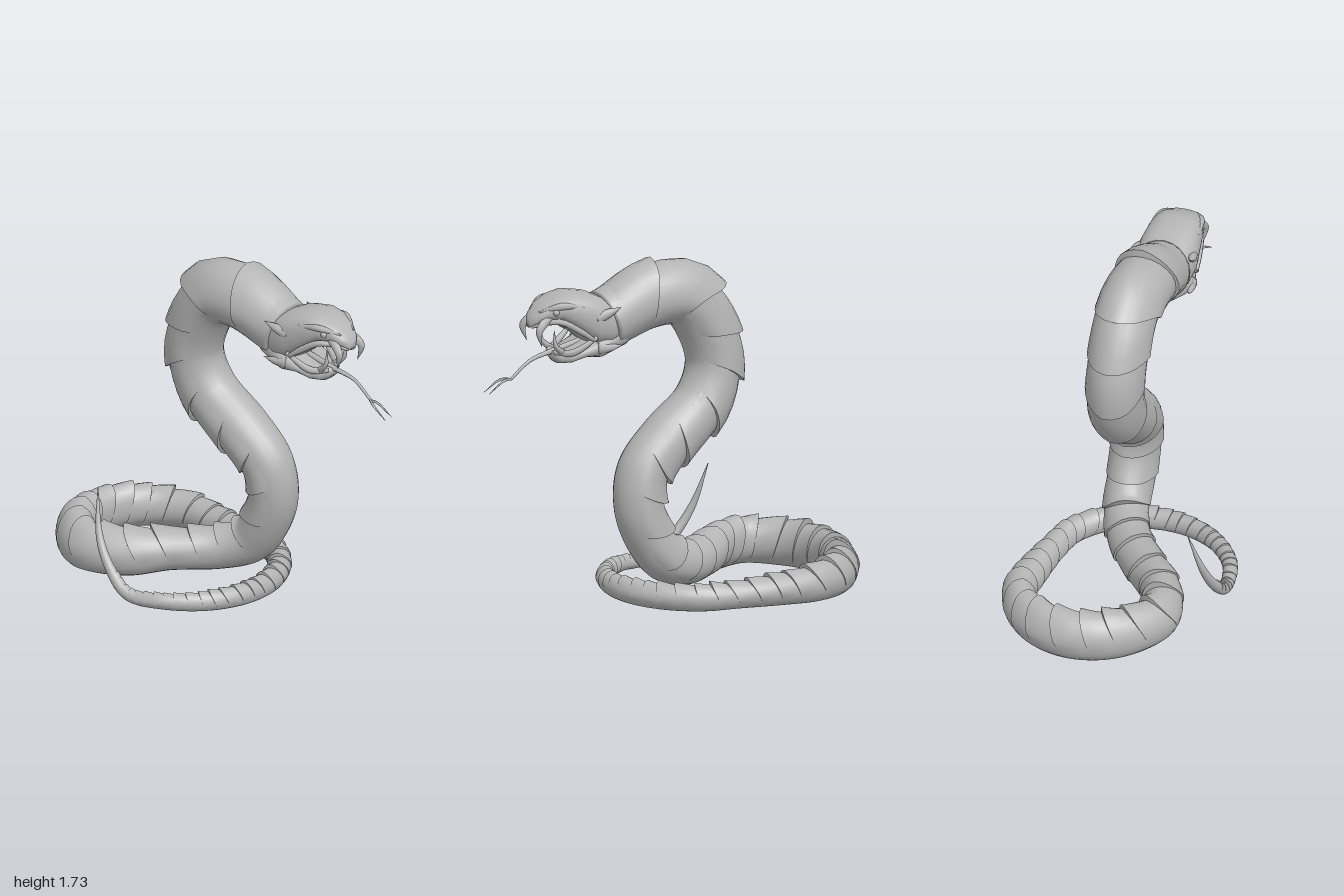
import * as THREE from 'three';
import { mergeGeometries } from 'three/addons/utils/BufferGeometryUtils.js';

const V = (x, y, z) => new THREE.Vector3(x, y, z);
const mix = THREE.MathUtils.lerp;
const CX = 0.04; // the head's middle plane

// Skin between rings of points; open leaves a gap between last and first column.
function loft(rings, open = false) {
  const n = rings[0].length, pos = [], idx = [];
  rings.forEach(r => r.forEach(p => pos.push(p.x, p.y, p.z)));
  for (let i = 0; i < rings.length - 1; i++) {
    for (let j = 0; j < (open ? n - 1 : n); j++) {
      const a = i * n + j, b = i * n + (j + 1) % n, c = a + n, d = b + n;
      idx.push(a, b, c, b, d, c);
    }
  }
  const g = new THREE.BufferGeometry();
  g.setAttribute('position', new THREE.Float32BufferAttribute(pos, 3));
  g.setIndex(idx);
  g.computeVertexNormals();
  return g;
}

// Frames along a path of [x, y, z, radius, height factor]; up is carried along it.
function pathFrames(points, samples, up) {
  const centre = new THREE.CatmullRomCurve3(points.map(p => V(p[0], p[1], p[2])), false, 'catmullrom');
  const size = new THREE.CatmullRomCurve3(points.map(p => V(p[3], p[4] ?? 1, 0)), false, 'catmullrom');
  const frames = [];
  let d = up, s = 0;
  for (let i = 0; i <= samples; i++) {
    const c = centre.getPoint(i / samples), t = centre.getTangent(i / samples);
    const z = size.getPoint(i / samples);
    d = d.clone().addScaledVector(t, -d.dot(t)).normalize();
    if (i) s += c.distanceTo(frames[i - 1].c);
    frames.push({ c, d, w: t.clone().cross(d), r: Math.max(z.x, 0.001), k: z.y, s });
  }
  return frames;
}

const around = (f, a, m = 1) => f.c.clone()
  .addScaledVector(f.d, Math.cos(a) * f.r * f.k * m)
  .addScaledVector(f.w, Math.sin(a) * f.r * m);

function sweep(frames, sides, m = 1) {
  const rings = frames.map(f => Array.from({ length: sides }, (_, j) => around(f, j / sides * Math.PI * 2, m)));
  const first = rings[0].map(() => frames[0].c);
  const last = rings[0].map(() => frames[frames.length - 1].c);
  return loft([first, ...rings, last]);
}

const horn = points => sweep(pathFrames(points, 12, V(1, 0, 0)), 7);

function frameAt(frames, s) {
  let i = 0;
  while (i < frames.length - 2 && frames[i + 1].s < s) i++;
  const a = frames[i], b = frames[i + 1];
  const t = THREE.MathUtils.clamp((s - a.s) / (b.s - a.s), 0, 1);
  return { c: a.c.clone().lerp(b.c, t), d: a.d.clone().lerp(b.d, t).normalize(),
    w: a.w.clone().lerp(b.w, t).normalize(), r: mix(a.r, b.r, t), k: mix(a.k, b.k, t) };
}

// Overlapping back plates with a keeled, pointed and slightly uneven rear edge.
function backPlates(frames) {
  const plates = [], total = frames[frames.length - 1].s, cols = 18, arc = 2.2;
  let s = 0.05;
  for (let i = 0; s < total - 0.2; i++) {
    const radius = frameAt(frames, s).r, len = radius * (1.38 + 0.2 * Math.sin(i * 1.7));
    if (radius < 0.028) break;
    const keel = 0.16 + 0.05 * Math.sin(i * 2.3);
    const row = (t, m) => Array.from({ length: cols + 1 }, (_, j) => {
      const a = (j / cols * 2 - 1) * arc;
      const edge = Math.min(1, (arc - Math.abs(a)) * 2);
      const flare = 0.09 + 0.03 * Math.sin(a * 3 + i) + keel * Math.max(0, 1 - Math.abs(a) / 1.1);
      return around(frameAt(frames, s + len * (t * 1.04 + 0.3 * Math.cos(a) - 0.2)), a, m ?? 0.96 + t * flare * edge);
    });
    plates.push(loft([0, 0.25, 0.5, 0.75, 1].map(t => row(t)), true));
    plates.push(loft([row(1), row(1, 0.92)], true));
    s += len;
  }
  return mergeGeometries(plates);
}

// Level arc of spine points; shape(t) gives [height, radius, height factor].
function groundArc(x, z, rx, rz, from, to, count, shape) {
  return Array.from({ length: count }, (_, i) => {
    const t = i / (count - 1), a = mix(from, to, t), [y, ...size] = shape(t);
    return [x + rx * Math.cos(a), y, z + rz * Math.sin(a), ...size];
  });
}

// Jaw from cross-sections of [z, top, bottom, half width].
function jaw(sections, sides = 24) {
  const round = v => Math.sign(v) * Math.abs(v) ** 0.8;
  const ring = ([z, top, bottom, w]) => Array.from({ length: sides }, (_, j) => {
    const a = j / sides * Math.PI * 2;
    return V(CX - w * round(Math.sin(a)), (top + bottom) / 2 + (top - bottom) / 2 * round(Math.cos(a)), z);
  });
  const cap = ([z, top, bottom]) => Array(sides).fill(V(CX, (top + bottom) / 2, z));
  return loft([cap(sections[0]), ...sections.map(ring), cap(sections[sections.length - 1])]);
}

export function createModel() {
  const group = new THREE.Group();
  const skin = new THREE.MeshStandardMaterial({ color: 0xb4b4b4, side: THREE.DoubleSide });
  skin.name = 'grey skin';
  const add = (name, geometry) => {
    const mesh = new THREE.Mesh(geometry, skin);
    mesh.name = name;
    group.add(mesh);
    return mesh;
  };

  // Raised neck, S-bend, ground coil and tail
  const neck = [
    [0.04, 1.465, 0.35, 0.152], [0.04, 1.55, 0.1, 0.16], [0.045, 1.53, -0.09, 0.156],
    [0.05, 1.38, -0.205, 0.15], [0.055, 1.18, -0.25, 0.142], [0.07, 0.99, -0.17, 0.142],
    [0.085, 0.835, 0.025, 0.142], [0.1, 0.7, 0.165, 0.132], [0.115, 0.53, 0.197, 0.126],
    [0.118, 0.37, 0.145, 0.12], [0.11, 0.25, 0.055, 0.113], [0.04, 0.19, -0.1, 0.108],
    [-0.1, 0.175, -0.28, 0.105], [-0.24, 0.165, -0.43, 0.1, 1.2],
  ];
  const coil = groundArc(0.055, -0.52, 0.375, 0.385, 3.4, 6.5, 8,
    t => [mix(0.155, 0.105, t), mix(0.095, 0.08, t), 1 + 0.37 * Math.sin(Math.PI * (0.2 + 0.8 * t))]);
  const tail = groundArc(-0.045, -0.2, 0.445, 0.425, 0, Math.PI, 8,
    t => [mix(0.1, 0.085, t), mix(0.067, 0.032, t), 1 + 0.15 * Math.sin(Math.PI * t)]);
  const tip = [[-0.48, 0.18, -0.33, 0.026], [-0.453, 0.33, -0.425, 0.018], [-0.4, 0.54, -0.48, 0.002]];
  const frames = pathFrames([...neck, ...coil, ...tail, ...tip], 420, V(0, 1, 0));
  add('body', sweep(frames, 22, 0.97));
  add('backPlates', backPlates(frames));

  // Head
  add('upperJaw', jaw([
    [0.27, 1.57, 1.38, 0.11], [0.37, 1.585, 1.35, 0.145], [0.45, 1.622, 1.36, 0.15],
    [0.56, 1.642, 1.45, 0.135], [0.63, 1.628, 1.505, 0.115], [0.7, 1.595, 1.512, 0.085],
    [0.745, 1.555, 1.495, 0.058], [0.768, 1.525, 1.48, 0.025],
  ]));
  add('lowerJaw', jaw([
    [0.27, 1.46, 1.34, 0.11], [0.42, 1.42, 1.3, 0.145], [0.5, 1.38, 1.31, 0.125],
    [0.57, 1.355, 1.288, 0.1], [0.62, 1.352, 1.287, 0.07], [0.645, 1.352, 1.31, 0.035],
  ]));

  // Paired features of the head
  for (const [side, m] of [['left', 1], ['right', -1]]) {
    const pair = (name, points) => add(side + name, horn(points.map(([x, ...rest]) => [CX + m * x, ...rest])));
    pair('UpperFang', [[0.06, 1.53, 0.69, 0.024], [0.08, 1.475, 0.752, 0.018], [0.075, 1.395, 0.735, 0.001]]);
    pair('LowerFang', [[0.055, 1.33, 0.59, 0.018], [0.068, 1.39, 0.655, 0.012], [0.064, 1.465, 0.66, 0.001]]);
    pair('Brow', [[0.125, 1.58, 0.53, 0.006], [0.1, 1.588, 0.64, 0.018], [0.045, 1.56, 0.735, 0.004]]);
    pair('LipRidge', [[0.135, 1.41, 0.48, 0.01], [0.122, 1.46, 0.55, 0.016],
      [0.095, 1.512, 0.65, 0.015], [0.02, 1.485, 0.762, 0.008]]);
    pair('JawRidge', [[0.135, 1.42, 0.46, 0.01], [0.095, 1.35, 0.57, 0.018], [0.03, 1.345, 0.642, 0.012]]);
    pair('CheekSpike', [[0.12, 1.51, 0.46, 0.03], [0.14, 1.535, 0.4, 0.022], [0.155, 1.56, 0.34, 0.001]]);
    pair('JawSpike', [[0.12, 1.36, 0.45, 0.03], [0.135, 1.36, 0.39, 0.02], [0.15, 1.37, 0.33, 0.001]]);
    pair('TongueTip', [[m * 0.015, 1.238, 0.868, 0.006], [0.018, 1.232, 0.92, 0.006], [0.025, 1.18, 1, 0.001]]);
    add(side + 'Eye', new THREE.SphereGeometry(0.017, 12, 8)).position.set(CX + m * 0.092, 1.56, 0.665);
  }

  // Tongue
  add('tongue', horn([[0.04, 1.38, 0.46, 0.02], [0.045, 1.345, 0.65, 0.013],
    [0.054, 1.315, 0.77, 0.009], [0.055, 1.236, 0.875, 0.007]]));
  return group;
}
